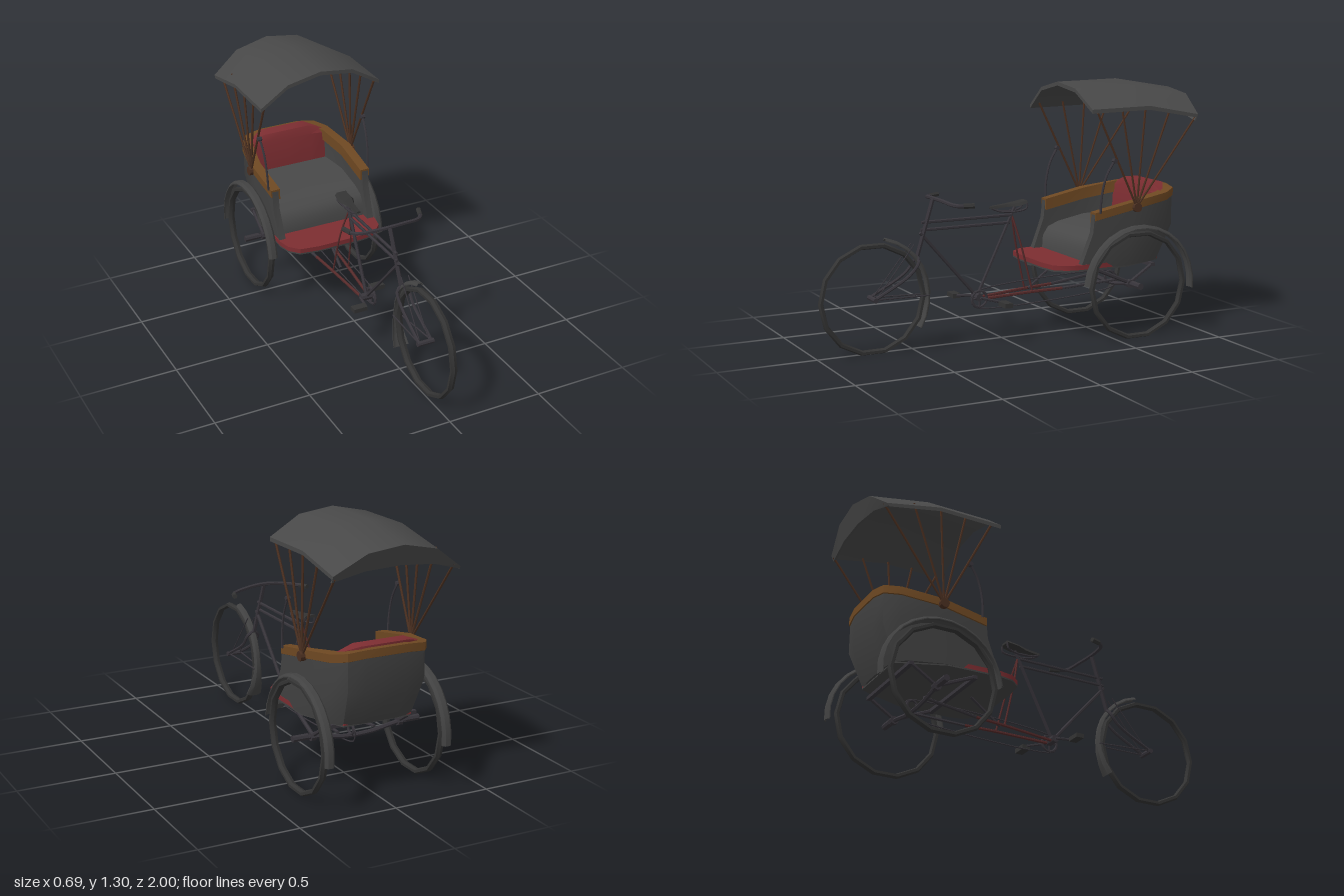
import * as THREE from 'three';
import { toCreasedNormals } from 'three/addons/utils/BufferGeometryUtils.js';

const mat = (name, color) => Object.assign(new THREE.MeshStandardMaterial({ color }), { name });
const V = (p) => new THREE.Vector3(...p);

// Solid skin over matching closed rings; each ring lists one side, then the other side reversed
function loft(rings) {
  const n = rings[0].length, pos = rings.flat(2), idx = [];
  const quad = (a, b, c, d) => idx.push(a, b, c, a, c, d);
  for (let i = 0; i < rings.length - 1; i++)
    for (let j = 0; j < n; j++) {
      const k = (j + 1) % n;
      quad(i * n + j, i * n + k, (i + 1) * n + k, (i + 1) * n + j);
    }
  const last = (rings.length - 1) * n;
  for (let j = 0; j < n / 2 - 1; j++) {
    quad(n - 1 - j, n - 2 - j, j + 1, j);
    quad(last + j, last + j + 1, last + n - 2 - j, last + n - 1 - j);
  }
  // Turn the faces outward by the sign of the volume
  const P = (i) => new THREE.Vector3().fromArray(pos, i * 3);
  let vol = 0;
  for (let t = 0; t < idx.length; t += 3) vol += P(idx[t]).dot(P(idx[t + 1]).cross(P(idx[t + 2])));
  if (vol < 0) idx.reverse();
  const g = new THREE.BufferGeometry();
  g.setAttribute('position', new THREE.Float32BufferAttribute(pos, 3));
  g.setIndex(idx);
  return g;
}

export function createModel() {
  const root = new THREE.Group();
  root.name = 'cycleRickshaw';
  const cloth = mat('greyCloth', 0x484848), panel = mat('bodyGrey', 0x424242);
  const tyre = mat('tyreBlack', 0x333333), metal = mat('frameMetal', 0x37343a);
  const red = mat('redLeather', 0x7c2d31), wood = mat('woodTrim', 0x6e4822);
  const strutBrown = mat('strutBrown', 0x4a2f20), rust = mat('rustRed', 0x552a2a);

  const add = (name, geo, m, x = 0, y = 0, z = 0, parent = root) => {
    const mesh = new THREE.Mesh(toCreasedNormals(geo, 0.6), m);
    mesh.name = name;
    mesh.position.set(x, y, z);
    parent.add(mesh);
    return mesh;
  };
  const box = (name, w, h, d, m, x, y, z) => add(name, new THREE.BoxGeometry(w, h, d), m, x, y, z);
  const rod = (name, a, b, r, m = metal, sides = 6) => {
    const p = V(a), d = V(b).sub(p);
    const mesh = add(name, new THREE.CylinderGeometry(r, r, d.length(), sides), m);
    mesh.position.copy(p).addScaledVector(d, 0.5);
    mesh.quaternion.setFromUnitVectors(new THREE.Vector3(0, 1, 0), d.normalize());
    return mesh;
  };
  const tube = (name, pts, r, m = metal, closed = false, segs = 16) =>
    add(name, new THREE.TubeGeometry(new THREE.CatmullRomCurve3(pts.map(V), closed, 'centripetal'), segs, r, 6, closed), m);

  // Wheels
  const wheel = (name, x, z) => {
    const rim = add(name, new THREE.TorusGeometry(0.27, 0.0135, 6, 14), tyre, x, 0.292, z);
    rim.rotation.y = Math.PI / 2;
    rim.scale.z = 1.4;
  };
  wheel('frontWheel', 0.02, 0.715);
  wheel('rightWheel', -0.31, -0.62);
  wheel('leftWheel', 0.315, -0.62);

  // Mudguards: thin arched strips following an arc (angles from +z, upwards)
  const fender = (name, x, y, z, r, a0, a1, n, width) => {
    const rings = [];
    for (let i = 0; i <= n; i++) {
      const a = a0 + ((a1 - a0) * i) / n, w = width(i / n);
      const pt = (u, rr) => [x + u * w, y + rr * Math.sin(a), z + rr * Math.cos(a)];
      rings.push([pt(-1, r - 0.012), pt(-0.5, r), pt(0.5, r), pt(1, r - 0.012),
        pt(1, r - 0.017), pt(0.5, r - 0.006), pt(-0.5, r - 0.006), pt(-1, r - 0.017)]);
    }
    add(name, loft(rings), panel);
  };
  fender('rightMudguard', -0.31, 0.28, -0.63, 0.32, 0.1, 3.24, 14, () => 0.025);
  fender('leftMudguard', 0.315, 0.28, -0.63, 0.32, 0.1, 3.24, 14, () => 0.025);
  fender('frontMudguard', 0.02, 0.295, 0.715, 0.305, 1.8, 3.74, 9, (t) => 0.018 + 0.024 * Math.max(0, t - 0.7) / 0.3);

  // Passenger body: wall path points [bottom x,z | middle x,z | top x,z | top y]
  const half = [
    [0.275, -0.305, 0.28, -0.375, 0.28, -0.385, 0.675],
    [0.277, -0.58, 0.285, -0.61, 0.285, -0.62, 0.72],
    [0.225, -0.76, 0.25, -0.82, 0.25, -0.82, 0.748],
    [0.18, -0.815, 0.2, -0.89, 0.2, -0.89, 0.762],
    [0.09, -0.83, 0.11, -0.905, 0.11, -0.905, 0.772],
  ];
  const path = [...half, ...half.map((p) => p.map((v, i) => (i < 6 && i % 2 === 0 ? -v : v))).reverse()];
  const inset = (x, y, z, d) => [x * (1 - d / 0.28), y, z + (z < -0.7 ? d * 0.8 : 0)];
  add('bodyWall', loft(path.map(([bx, bz, mx, mz, tx, tz, ty]) => {
    const out = [[bx, 0.39, bz], [mx, 0.57, mz], [tx, ty - 0.01, tz]];
    return [...out, ...out.map(([x, y, z]) => inset(x, y, z, 0.035)).reverse()];
  })), panel);
  add('rimTrim', loft(path.map(([, , , , x, z, y]) => [
    inset(x, y - 0.04, z, -0.006), inset(x, y, z, -0.006), inset(x, y, z, 0.045), inset(x, y - 0.06, z, 0.045),
  ])), wood);

  // Floor board with rounded front
  const plan = (zBack, xBack) => {
    const s = new THREE.Shape();
    const pts = [[xBack, zBack], [0.275, -0.58], [0.28, -0.3], [0.265, -0.23], [0.22, -0.18], [0.12, -0.165]];
    [...pts, ...pts.map(([x, z]) => [-x, z]).reverse()].forEach(([x, z], i) => (i ? s.lineTo(x, -z) : s.moveTo(x, -z)));
    return s;
  };
  const slab = (name, y, h, m) =>
    (add(name, new THREE.ExtrudeGeometry(plan(-0.82, 0.18), { depth: h, bevelEnabled: false }), m, 0, y, 0).rotation.x = -Math.PI / 2);
  slab('floorBoard', 0.391, 0.024, red);
  slab('floorUnderside', 0.383, 0.008, panel);

  // Seat cushion and backrest
  const seatSide = [[-0.365, 0.41], [-0.37, 0.48], [-0.4, 0.525], [-0.46, 0.55], [-0.62, 0.58], [-0.8, 0.585], [-0.8, 0.46], [-0.7, 0.41]];
  add('seat', loft([-1, 1].map((s) => seatSide.map(([z, y]) => [s * (z < -0.7 ? 0.222 : 0.242), y, z]))), cloth);
  add('backrest', loft([-0.225, -0.14, 0, 0.14, 0.225].map((x) => {
    const e = Math.abs(x) > 0.2 ? 1 : 0, zb = e ? -0.83 : -0.88;
    return [[x, 0.55, -0.78], [x, 0.74 - 0.01 * e, -0.79], [x * 0.95, 0.782 - 0.03 * e, -0.81],
      [x * 0.92, 0.782 - 0.03 * e, zb], [x * 0.95, 0.7, zb + 0.005], [x * 0.95, 0.55, zb + 0.01]];
  })), red);

  // Folding canopy: arched sections, with a hanging rear flap
  const arch = [[-0.345, 0.145], [-0.2, 0.04], [-0.02, 0], [0.16, 0.022], [0.32, 0.115]];
  const section = (crown, z, k, sweep, dy, dz) => {
    const pts = arch.map(([x, d]) => [x, crown - d * k, z + (sweep * d) / 0.145]);
    return [...pts, ...pts.map(([x, y, zz]) => [x, y - dy, zz + dz]).reverse()];
  };
  add('canopy', loft([
    section(1.315, -0.33, 1, -0.015, 0.02, 0),
    section(1.32, -0.675, 1, 0, 0.02, 0),
    section(1.265, -1.0, 1, 0.045, 0.016, 0.012),
    section(1.165, -0.968, 0.4, 0.02, 0, 0.012),
  ]), cloth);

  // Canopy struts fanning from side pivots
  for (const s of [-1, 1]) {
    for (const [z, y] of [[-0.38, 1.18], [-0.52, 1.19], [-0.655, 1.19], [-0.8, 1.18], [-0.955, 1.135]])
      rod('canopyStrut', [s * 0.295, 0.69, -0.62], [s * 0.308, y, z], 0.006, strutBrown);
    rod('canopyPivot', [s * 0.275, 0.69, -0.62], [s * 0.31, 0.69, -0.62], 0.024, strutBrown, 10);
    tube('canopyHinge', [[s * 0.29, 0.67, -0.41], [s * 0.293, 0.76, -0.415], [s * 0.295, 0.86, -0.44], [s * 0.298, 0.945, -0.49]], 0.006);
    rod('hingeKnob', [s * 0.288, 0.935, -0.485], [s * 0.31, 0.935, -0.485], 0.012);
  }

  // Cycle frame
  const head = [0.01, 0.6, 0.455], bracket = [0, 0.245, 0.14], seatTop = [0, 0.645, -0.06];
  rod('steeringTube', [0, 0.765, 0.38], [0.015, 0.48, 0.475], 0.011);
  rod('upperTopTube', [0.005, 0.65, 0.445], [0, 0.65, -0.06], 0.008);
  rod('lowerTopTube', [0.005, 0.612, 0.45], [0, 0.612, -0.045], 0.008);
  rod('downTube', head, bracket, 0.009);
  rod('seatTube', bracket, [0, 0.69, -0.075], 0.009);
  rod('bracketShell', [-0.035, 0.245, 0.14], [0.035, 0.245, 0.14], 0.02, metal, 8);
  for (const s of [-1, 1]) {
    tube('seatStay', [seatTop, [s * 0.03, 0.5, -0.095], [s * 0.045, 0.25, -0.155]], 0.005, rust);
    tube('chainStay', [[s * 0.02, 0.235, 0.12], [s * 0.045, 0.25, -0.155], [s * 0.06, 0.255, -0.32]], 0.008, rust);
    rod('rearStay', [s * 0.06, 0.255, -0.32], [s * 0.1, 0.28, -0.62], 0.008);
    tube('forkLeg', [[0.015, 0.485, 0.475], [0.02 + s * 0.03, 0.46, 0.48], [0.02 + s * 0.032, 0.4, 0.53], [0.02 + s * 0.034, 0.295, 0.715]], 0.008);
    rod('mudguardStay', [0.02 + s * 0.034, 0.295, 0.715], [0.02 + s * 0.018, 0.287, 0.42], 0.004);
    rod('brakeRod', [0.02 + s * 0.025, 0.3, 0.7], [0.02 + s * 0.02, 0.55, 0.5], 0.003);
  }
  rod('frontAxle', [-0.025, 0.293, 0.715], [0.065, 0.293, 0.715], 0.013, metal, 8);

  // Handlebar and grips
  tube('handlebar', [[-0.195, 0.752, 0.27], [-0.165, 0.75, 0.335], [-0.065, 0.762, 0.37], [0.01, 0.765, 0.375], [0.08, 0.762, 0.367], [0.19, 0.75, 0.335], [0.225, 0.752, 0.265]], 0.01, metal, false, 20);
  rod('rightGrip', [-0.195, 0.752, 0.265], [-0.18, 0.75, 0.315], 0.013, tyre);
  rod('leftGrip', [0.225, 0.752, 0.26], [0.207, 0.75, 0.31], 0.013, tyre);

  // Saddle with springs
  add('saddle', loft([[0.06, 0.012, 0.7], [-0.02, 0.018, 0.708], [-0.08, 0.042, 0.712], [-0.135, 0.036, 0.722]].map(([z, w, y]) => [
    [-w - 0.005, y - 0.014, z], [-w * 0.7 - 0.005, y, z], [w * 0.7 - 0.005, y, z],
    [w - 0.005, y - 0.014, z], [w * 0.7 - 0.005, y - 0.01, z], [-w * 0.7 - 0.005, y - 0.01, z],
  ])), tyre);
  for (const s of [-1, 1])
    tube('saddleSpring', [[s * 0.01, 0.69, 0.055], [s * 0.015, 0.675, 0.02], [s * 0.022, 0.67, -0.09], [s * 0.03, 0.685, -0.13], [s * 0.028, 0.71, -0.132]], 0.005);

  // Cranks, pedals, chain
  const ringMesh = (name, r, x, y, z) =>
    (add(name, new THREE.TorusGeometry(r, 0.007, 6, 12), metal, x, y, z).rotation.y = Math.PI / 2);
  ringMesh('chainring', 0.042, 0.03, 0.238, 0.14);
  ringMesh('rearSprocket', 0.026, 0.03, 0.287, -0.62);
  rod('chainringSpoke', [0.03, 0.2, 0.14], [0.03, 0.278, 0.14], 0.005);
  rod('chainringSpoke', [0.03, 0.24, 0.1], [0.03, 0.24, 0.18], 0.005);
  tube('chain', [[0.03, 0.285, 0.14], [0.03, 0.315, -0.62], [0.03, 0.295, -0.66], [0.03, 0.24, -0.655], [0.03, 0.222, -0.62],
    [0.03, 0.19, 0.14], [0.03, 0.21, 0.18], [0.03, 0.265, 0.18]], 0.0035, metal, true, 60);
  rod('leftCrank', [0.045, 0.245, 0.14], [0.06, 0.215, 0.03], 0.007);
  rod('rightCrank', [-0.035, 0.245, 0.14], [-0.05, 0.248, 0.23], 0.007);
  box('leftPedal', 0.078, 0.024, 0.042, tyre, 0.113, 0.215, 0.033);
  box('rightPedal', 0.075, 0.022, 0.042, tyre, -0.088, 0.246, 0.228);

  // Rear axle, leaf springs and under-body bars
  tube('rearAxle', [[-0.3, 0.287, -0.62], [-0.2, 0.277, -0.62], [-0.08, 0.257, -0.62], [0.08, 0.257, -0.62], [0.2, 0.277, -0.62], [0.3, 0.287, -0.62]], 0.011);
  for (const s of [-1, 1]) {
    rod('rearHub', [s * 0.265, 0.287, -0.62], [s * 0.345, 0.287, -0.62], 0.017, metal, 8);
    rod('axleNut', [s * 0.225, 0.283, -0.62], [s * 0.25, 0.283, -0.62], 0.022, metal, 8);
    rod('frontLeafSpring', [s * 0.235, 0.375, -0.42], [s * 0.235, 0.288, -0.62], 0.01);
    rod('rearLeafSpring', [s * 0.235, 0.288, -0.62], [s * 0.235, 0.375, -0.755], 0.01);
  }
  for (const z of [-0.42, -0.755]) box('underbodyBar', 0.49, 0.018, 0.022, metal, 0, 0.373, z);
  rod('frameBrace', [0, 0.26, -0.155], [0, 0.385, -0.32], 0.008);
  return root;
}
